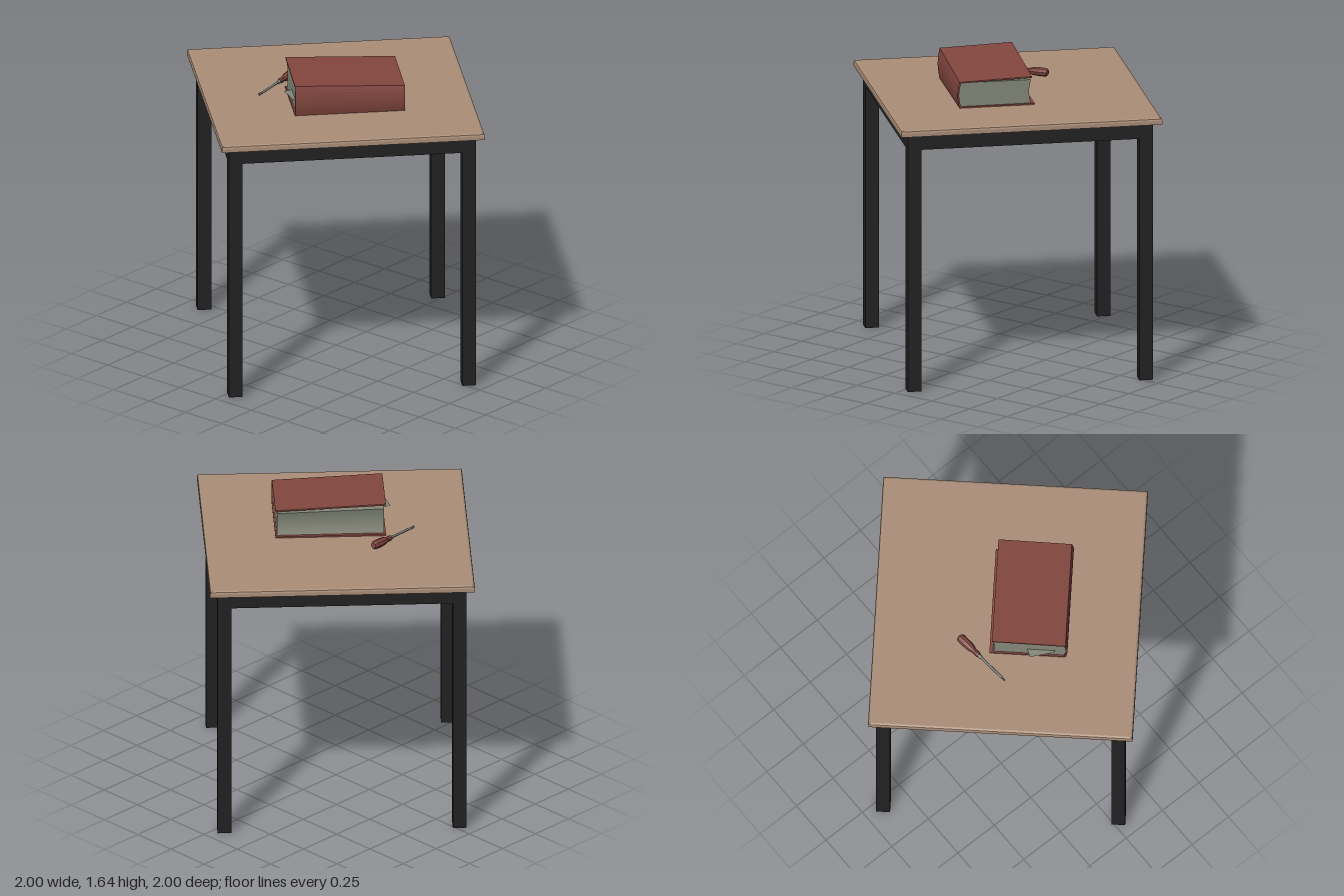
import * as THREE from 'three';

const mat = (name, color) => {
  const m = new THREE.MeshStandardMaterial({ color });
  m.name = name;
  return m;
};

const TOP = 1.46; // height of the table surface

export function createModel() {
  const wood = mat('wood', 0xab8e78);
  const black = mat('blackMetal', 0x222222);
  const red = mat('red', 0x83473f);
  const paper = mat('paper', 0x858979);
  const steel = mat('steel', 0x7f8784);
  paper.side = THREE.DoubleSide;

  const root = new THREE.Group();
  root.name = 'tableWithBookAndScrewdriver';
  const add = (parent, name, geo, material) => {
    const mesh = new THREE.Mesh(geo, material);
    mesh.name = name;
    parent.add(mesh);
    return mesh;
  };
  const flat = (geo) => {
    const g = geo.index ? geo.toNonIndexed() : geo;
    g.computeVertexNormals();
    return g;
  };
  const pts = (list) => list.map(([x, y]) => new THREE.Vector2(x, y));

  // Everything square to the table shares its turn about the vertical
  const turned = new THREE.Group();
  turned.name = 'tableAndBook';
  turned.rotation.y = THREE.MathUtils.degToRad(-42.4);
  root.add(turned);

  // Table top: four-sided turned profile with an eased upper edge
  const topProfile = [[0, 1.425], [1, 1.425], [1, 1.446], [0.996, 1.455], [0.982, TOP], [0, TOP]];
  add(turned, 'tableTop', flat(new THREE.LatheGeometry(pts(topProfile), 4, Math.PI / 4)), wood);

  // Legs and aprons of square tube
  const T = 0.074, C = 0.628, H = 1.425, A = 0.085;
  for (const sx of [-1, 1]) for (const sz of [-1, 1]) {
    add(turned, 'leg', new THREE.BoxGeometry(T, H, T), black).position.set(sx * C, H / 2, sz * C);
  }
  for (const s of [-1, 1]) {
    add(turned, 'apron', new THREE.BoxGeometry(2 * C - T, A, T), black).position.set(0, H - A / 2, s * C);
    add(turned, 'sideApron', new THREE.BoxGeometry(T, A, 2 * C - T), black).position.set(s * C, H - A / 2, 0);
  }

  // Book: sections extruded along its length; upper parts lift toward one end
  const book = new THREE.Group();
  book.name = 'book';
  book.position.y = TOP;
  turned.add(book);
  const X0 = -0.263, X1 = 0.327;
  const section = (shape, x0, x1, endLift, foreLift) => {
    const g = new THREE.ExtrudeGeometry(shape, { depth: x1 - x0, bevelEnabled: false, curveSegments: 10 });
    g.rotateY(Math.PI / 2).translate(x0, 0, 0);
    const p = g.attributes.position;
    for (let i = 0; i < p.count; i++) {
      const end = (X1 - p.getX(i)) / (X1 - X0), fore = (0.333 - p.getZ(i)) / 0.417;
      p.setY(i, p.getY(i) * (1 + (endLift * end + foreLift * fore) / 0.145));
    }
    return flat(g);
  };

  const cover = new THREE.Shape();
  cover.moveTo(0.084, 0.001);
  cover.lineTo(-0.322, 0.001);
  cover.quadraticCurveTo(-0.344, 0.07, -0.322, 0.145);
  cover.lineTo(0.07, 0.145);
  cover.lineTo(0.07, 0.138);
  cover.lineTo(-0.314, 0.138);
  cover.quadraticCurveTo(-0.335, 0.07, -0.314, 0.008);
  cover.lineTo(0.084, 0.008);
  cover.closePath();
  add(book, 'bookCover', section(cover, X0, X1, 0.025, 0.013), red);

  const pages = new THREE.Shape();
  pages.moveTo(0.066, 0.007);
  pages.lineTo(-0.315, 0.007);
  pages.quadraticCurveTo(-0.333, 0.07, -0.315, 0.138);
  pages.lineTo(0.066, 0.138);
  pages.quadraticCurveTo(0.046, 0.07, 0.066, 0.007);
  add(book, 'bookPages', section(pages, X0 + 0.009, X1 - 0.009, 0.016, 0), paper);

  // Loose slip of paper poking out of the end of the pages
  const slip = new THREE.Shape(pts([[-0.298, 0.135], [-0.24, 0.112], [-0.24, 0.27], [-0.265, 0.262]]));
  const slipGeo = new THREE.ShapeGeometry(slip).rotateX(Math.PI / 2);
  add(book, 'paperSlip', slipGeo, paper).position.y = 0.07;

  // Screwdriver: built along +y from the blade tip, then laid on the table
  const driver = new THREE.Group();
  driver.name = 'screwdriver';
  const tip = new THREE.Vector3(-0.31, TOP + 0.006, -0.275);
  const butt = new THREE.Vector3(0.03, TOP + 0.026, -0.31);
  const dir = butt.clone().sub(tip);
  const L = dir.length();
  driver.position.copy(tip);
  driver.quaternion.setFromUnitVectors(new THREE.Vector3(0, 1, 0), dir.normalize());
  root.add(driver);

  const handle = [[0, L - 0.15], [0.012, L - 0.15], [0.015, L - 0.135], [0.013, L - 0.115], [0.021, L - 0.09],
    [0.024, L - 0.05], [0.023, L - 0.012], [0.016, L], [0, L]];
  add(driver, 'handle', flat(new THREE.LatheGeometry(pts(handle), 8)), red);
  const shaft = new THREE.CylinderGeometry(0.006, 0.006, L - 0.165, 10);
  add(driver, 'shaft', shaft, steel).position.y = 0.02 + (L - 0.165) / 2;
  const ferrule = new THREE.CylinderGeometry(0.01, 0.008, 0.02, 10);
  add(driver, 'ferrule', ferrule, steel).position.y = L - 0.158;
  const blade = new THREE.CylinderGeometry(0.006, 0.009, 0.024, 8);
  add(driver, 'blade', blade, steel).position.y = 0.012;
  driver.children[3].scale.z = 0.4;

  return root;
}
